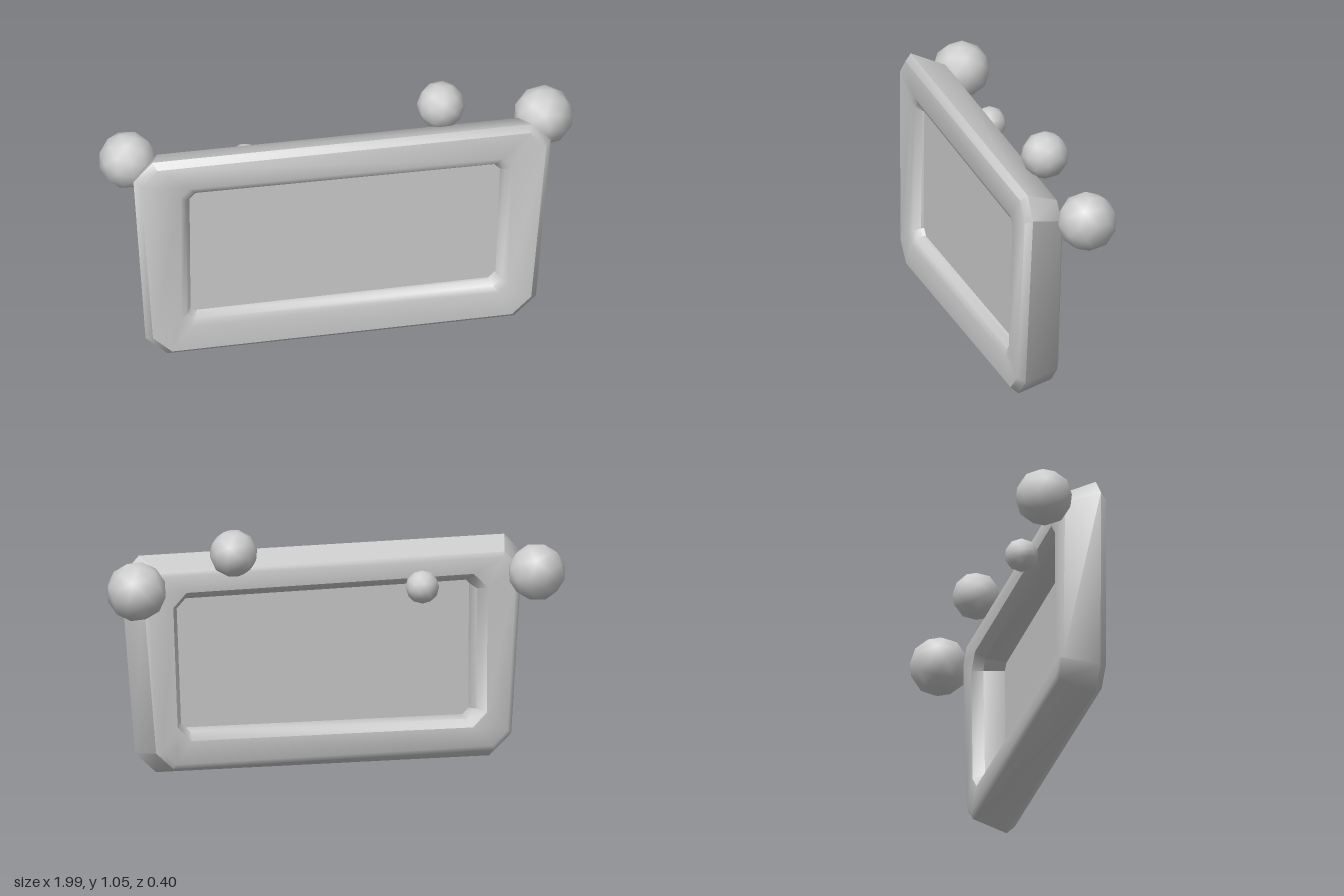
import * as THREE from 'three';
import { toCreasedNormals } from 'three/addons/utils/BufferGeometryUtils.js';

// corner order: top right-hand side seen from the front, clockwise from the top left
const OUTER = [[-0.905, 0.93], [0.865, 0.93], [0.785, 0.015], [-0.845, 0.0]];
const BACK = [[-0.845, 0.88], [0.815, 0.88], [0.745, 0.05], [-0.8, 0.05]];
const OPENING = [[-0.663, 0.76], [0.645, 0.752], [0.622, 0.2], [-0.66, 0.185]];
const GROW = [[-1, 1], [1, 1], [1, -1], [-1, -1]];

// four-sided loop, grown by a margin, with cut corners
function loop(corners, grow, cut, z) {
  const p = corners.map(([x, y], i) =>
    new THREE.Vector2(x + GROW[i][0] * grow, y + GROW[i][1] * grow));
  const pts = [];
  p.forEach((c, i) => {
    for (const n of [p[(i + 3) % 4], p[(i + 1) % 4]]) {
      const q = n.clone().sub(c).setLength(cut).add(c);
      // the front leans back slightly towards the top
      pts.push(new THREE.Vector3(q.x, q.y, z * (1 + 0.1 * (0.45 - q.y))));
    }
  });
  return pts;
}

// closed surface through a cycle of loops
function ringGeometry(loops) {
  const n = loops[0].length, index = [];
  const pos = loops.flat().flatMap(v => [v.x, v.y, v.z]);
  loops.forEach((_, i) => {
    const k = (i + 1) % loops.length;
    for (let j = 0; j < n; j++) {
      const m = (j + 1) % n;
      const a = i * n + j, b = i * n + m, c = k * n + m, d = k * n + j;
      index.push(a, d, c, a, c, b);
    }
  });
  const g = new THREE.BufferGeometry();
  g.setAttribute('position', new THREE.Float32BufferAttribute(pos, 3));
  g.setIndex(index);
  return toCreasedNormals(g, 0.75);
}

export function createModel() {
  const group = new THREE.Group();
  const grey = new THREE.MeshStandardMaterial({ color: 0xcccccc, side: THREE.DoubleSide });
  grey.name = 'plainGrey';
  const add = (name, geometry) => {
    const mesh = new THREE.Mesh(geometry, grey);
    mesh.name = name;
    group.add(mesh);
    return mesh;
  };

  // chunky bevelled frame, narrowing towards the back
  add('frame', ringGeometry([
    loop(OUTER, 0, 0.085, 0.155),
    loop(OUTER, -0.025, 0.075, 0.184),
    loop(OPENING, 0.045, 0.04, 0.19),
    loop(OPENING, 0.018, 0.03, 0.178),
    loop(OPENING, 0, 0.025, 0.15),
    loop(OPENING, 0.005, 0.04, 0.05),
    loop(OPENING, 0.035, 0.06, 0.006),
    loop(BACK, -0.02, 0.06, 0),
    loop(BACK, 0, 0.07, 0.012),
  ]));

  // flat panel closing the opening
  const outline = loop(OPENING, 0.003, 0.025, 0).map(v => new THREE.Vector2(v.x, v.y));
  add('panel', new THREE.ShapeGeometry(new THREE.Shape(outline))).position.z = 0.14;

  // faceted knobs along the upper back
  const knobs = [
    ['leftCornerKnob', 0.87, 0.822, -0.082, 0.125],
    ['rightCornerKnob', -0.88, 0.805, -0.09, 0.12],
    ['topKnob', 0.43, 0.95, -0.038, 0.1],
    ['smallBackKnob', -0.39, 0.765, -0.058, 0.07],
  ];
  knobs.forEach(([name, x, y, z, r], i) => {
    const knob = add(name, new THREE.IcosahedronGeometry(r, 1));
    knob.position.set(x, y, z);
    knob.rotation.set(0.4 * i, 0.7 * i, 0.2);
  });
  return group;
}
